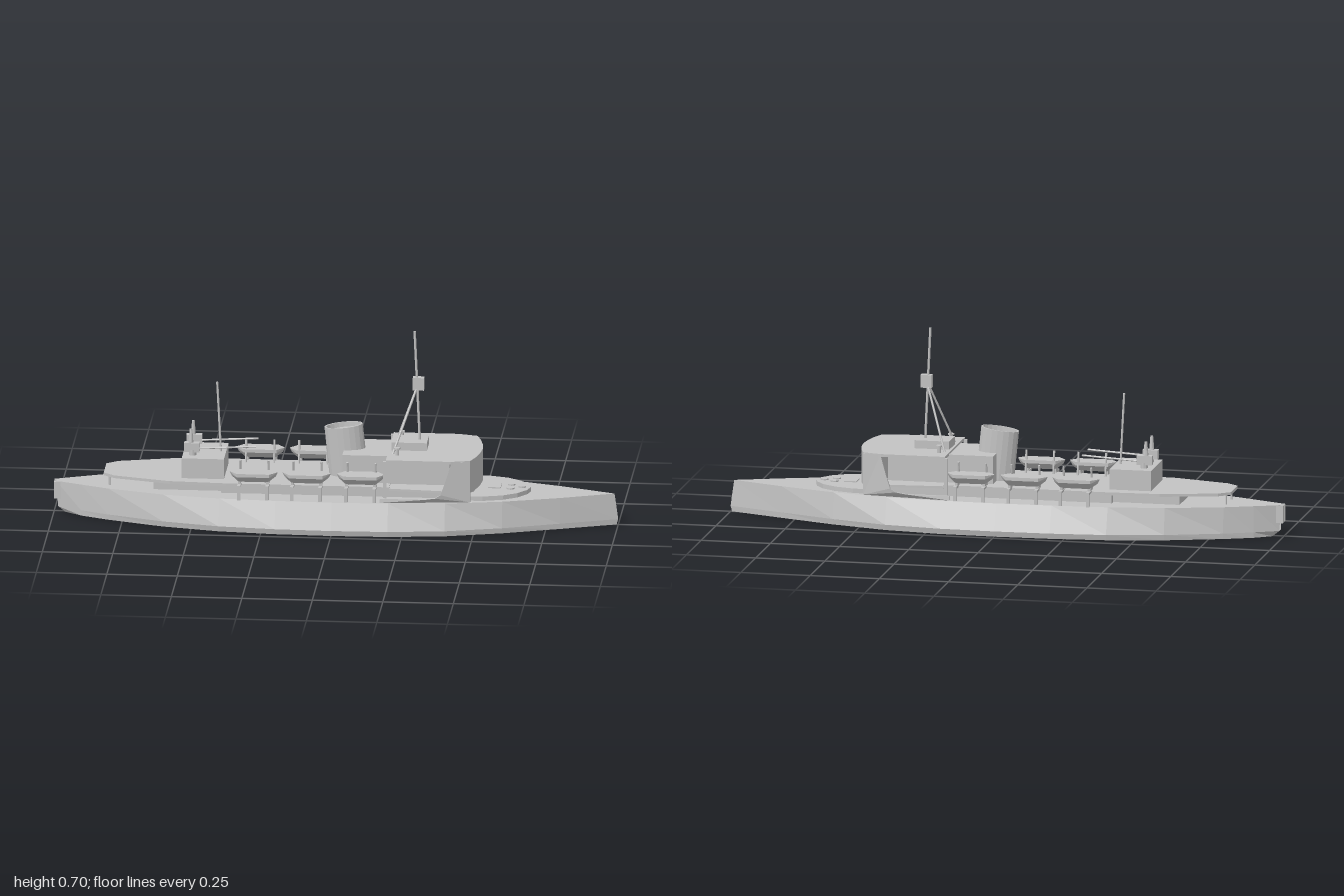
import * as THREE from 'three';
import { ConvexGeometry } from 'three/addons/geometries/ConvexGeometry.js';

const grey = new THREE.MeshStandardMaterial({ color: 0xc2c2c2, flatShading: true, side: THREE.DoubleSide });
grey.name = 'ship grey';

export function createModel() {
  const ship = new THREE.Group();
  ship.name = 'ship';

  const add = (name, geometry, x = 0, y = 0, z = 0) => {
    const mesh = new THREE.Mesh(geometry, grey);
    mesh.name = name;
    mesh.position.set(x, y, z);
    ship.add(mesh);
    return mesh;
  };
  // box given by its limits in x and y, its middle z and its width
  const box = (name, x0, x1, y0, y1, z, width) =>
    add(name, new THREE.BoxGeometry(x1 - x0, y1 - y0, width), (x0 + x1) / 2, (y0 + y1) / 2, z);
  const drum = (name, x, y0, y1, z, r, top = r) =>
    add(name, new THREE.CylinderGeometry(top, r, y1 - y0, 10), x, (y0 + y1) / 2, z);
  const rod = (name, a, b, r) => {
    const from = new THREE.Vector3(...a), to = new THREE.Vector3(...b);
    const dir = to.clone().sub(from);
    const mesh = add(name, new THREE.CylinderGeometry(r, r, dir.length(), 8));
    mesh.position.copy(from).add(to).multiplyScalar(0.5);
    mesh.quaternion.setFromUnitVectors(new THREE.Vector3(0, 1, 0), dir.normalize());
  };
  // closed outline from one half, listed as [x, half width]
  const mirrored = (half) => [
    ...half.map(([x, w]) => new THREE.Vector2(x, w)),
    ...half.slice().reverse().filter(([, w]) => w > 0).map(([x, w]) => new THREE.Vector2(x, -w)),
  ];
  const plate = (name, half, y0, y1) => {
    const geometry = new THREE.ExtrudeGeometry(new THREE.Shape(mirrored(half)), { depth: y1 - y0, bevelEnabled: false });
    return add(name, geometry.rotateX(-Math.PI / 2), 0, y0, 0);
  };
  // surface through rows of points
  const skin = (name, rows) => {
    const n = rows[0].length, index = [];
    for (let i = 0; i < rows.length - 1; i++) {
      for (let j = 0; j < n - 1; j++) {
        const a = i * n + j, b = a + n;
        index.push(a, b, a + 1, a + 1, b, b + 1);
      }
    }
    const geometry = new THREE.BufferGeometry();
    geometry.setAttribute('position', new THREE.Float32BufferAttribute(rows.flat(2), 3));
    geometry.setIndex(index);
    geometry.computeVertexNormals();
    return add(name, geometry);
  };
  const wall = (name, half, y0, y1) => {
    const ring = mirrored(half);
    ring.push(ring[0]);
    return skin(name, [y1, y0].map((y) => ring.map((p) => [p.x, y, -p.y])));
  };

  // Hull: open shell, [x at waterline, waterline width, deck width, x at deck]
  const stations = [
    [-0.985, 0.012, 0.014, -0.992], [-0.9, 0.055, 0.052], [-0.8, 0.098, 0.092], [-0.6, 0.165, 0.148],
    [-0.4, 0.207, 0.178], [-0.2, 0.225, 0.19], [0, 0.23, 0.195], [0.2, 0.225, 0.19],
    [0.4, 0.2, 0.172], [0.6, 0.145, 0.132], [0.8, 0.073, 0.07], [1, 0, 0, 0.987],
  ];
  const deckY = 0.114;
  for (const s of [1, -1]) {
    skin('hullSide', stations.map(([x, w, d, top = x]) => {
      const low = x < -0.95 ? x + 0.025 : Math.min(x, 0.994);
      const side = [[low, 0, w * 0.975], [x, 0.02, w], [top, deckY, d]].map(([px, y, z]) => [px, y, z * s]);
      return s > 0 ? side : side.reverse();
    }));
    box('sternFluke', -1, -0.975, 0.05, 0.112, 0.014 * s, 0.014);
  }

  // Main deck, open below the deckhouse
  const house = [[-0.64, 0.085], [-0.4, 0.085], [-0.4, 0.108], [0.46, 0.108], [0.495, 0.07]];
  const deck = new THREE.Shape(mirrored(stations.map(([x, , d, top = x]) => [top, d])));
  deck.holes.push(new THREE.Path(mirrored(house)));
  add('mainDeck', new THREE.ShapeGeometry(deck).rotateX(-Math.PI / 2), 0, deckY, 0);
  wall('deckhouse', house, deckY, 0.155);
  plate('boatDeck', [[-0.82, 0.055], [-0.78, 0.088], [-0.58, 0.14], [-0.38, 0.15], [0.2, 0.15]], 0.152, 0.162);
  for (const s of [1, -1]) rod('deckPost', [-0.8, deckY, 0.045 * s], [-0.8, 0.155, 0.045 * s], 0.003);

  // Bridge with rounded front, open wings and sloping side plates
  const front = [[0.42, 0.17], [0.488, 0.152], [0.503, 0.11], [0.515, 0.055], [0.52, 0]];
  wall('bridgeFront', front, 0.15, 0.268);
  plate('bridgeFloor', [[0.2, 0.152], ...front], 0.15, 0.158);
  plate('bridgeRoof', [[0.19, 0.17], ...front], 0.258, 0.268);
  box('upperHouse', 0.03, 0.41, 0.16, 0.262, 0, 0.2);
  const sidePlate = new THREE.Shape([
    [0.17, 0.115], [0.488, 0.115], [0.488, 0.265], [0.423, 0.265], [0.4, 0.19], [0.385, 0.148], [0.365, 0.135],
    [0.33, 0.13], [0.17, 0.13],
  ].map(([x, y]) => new THREE.Vector2(x, y)));
  for (const s of [1, -1]) {
    const g = new THREE.ExtrudeGeometry(sidePlate, { depth: 0.008, bevelEnabled: false });
    const p = g.attributes.position;
    for (let i = 0; i < p.count; i++) {
      const lean = (0.265 - p.getY(i)) * 0.12;
      p.setZ(i, p.getZ(i) - 0.004 + s * (p.getX(i) > 0.45 ? 0.15 : 0.165 + lean));
    }
    g.computeVertexNormals();
    add('bridgeSide', g);
    box('wingPillar', 0.18, 0.192, 0.115, 0.262, 0.165 * s, 0.012);
    drum('roofSpool', 0.225, 0.265, 0.295, 0.103 * s, 0.007);
    drum('spoolCap', 0.225, 0.29, 0.295, 0.103 * s, 0.011);
  }
  box('mastHouse', 0.2, 0.325, 0.268, 0.297, 0, 0.095);

  // Forward platform and its fittings
  plate('forePlatform', [[0.43, 0.13], [0.53, 0.128], [0.6, 0.108], [0.65, 0.075], [0.68, 0.035], [0.69, 0]], 0.114, 0.13);
  box('foreHatch', 0.54, 0.585, 0.13, 0.134, 0, 0.05);
  for (const s of [1, -1]) drum('bollard', 0.62, 0.13, 0.135, 0.024 * s, 0.014);
  drum('capstan', 0.66, 0.13, 0.135, 0, 0.014);

  // Funnel: raked oval with a sloping rim and a recessed top
  const oval = (cx, y, k, tilt) => Array.from({ length: 21 }, (_, i) => {
    const a = (i / 20) * Math.PI * 2, c = Math.cos(a);
    return [cx + c * 0.068 * k, y + c * tilt, -Math.sin(a) * 0.042 * k];
  });
  skin('funnel', [
    oval(0.026, 0.325, 0, 0), oval(0.026, 0.325, 0.88, 0.008), oval(0.026, 0.343, 0.9, 0.008),
    oval(0.026, 0.343, 1, 0.008), oval(0.045, 0.16, 1.02, 0),
  ]);

  // Masts
  rod('foreMast', [0.298, 0.26, 0], [0.278, 0.695, 0], 0.0045);
  box('lookoutBox', 0.272, 0.312, 0.48, 0.526, 0, 0.024);
  for (const s of [1, -1]) rod('mastStrut', [0.285, 0.485, 0.008 * s], [0.208, 0.266, 0.087 * s], 0.004);
  rod('aftMast', [-0.405, 0.16, 0], [-0.422, 0.49, 0], 0.004);

  // Gun house and the pair of guns on it
  box('gunHouse', -0.54, -0.39, 0.16, 0.235, 0, 0.2);
  for (const s of [1, -1]) {
    const z = 0.05 * s;
    drum('gunPedestal', -0.505, 0.235, 0.255, z, 0.014);
    box('gunBody', -0.535, -0.48, 0.247, 0.28, z, 0.024);
    rod('gunBarrel', [-0.49, 0.258, z], [-0.28, 0.27, z], 0.0035);
    drum('gunSight', -0.511, 0.28, 0.33, z, 0.009, 0.005);
  }

  // Lifeboats on davits, three to a side
  const boatPoints = [];
  for (const sx of [1, -1]) {
    boatPoints.push([0.086 * sx, 0.208, 0], [0.078 * sx, 0.192, 0]);
    for (const sz of [1, -1]) {
      boatPoints.push([0.058 * sx, 0.208, 0.034 * sz], [0.058 * sx, 0.196, 0.034 * sz], [0.052 * sx, 0.174, 0.014 * sz]);
    }
  }
  const boat = new ConvexGeometry(boatPoints.map((p) => new THREE.Vector3(...p)));
  for (const s of [1, -1]) {
    for (const x of [-0.28, -0.092, 0.1]) {
      add('lifeboat', boat, x, 0, 0.15 * s);
      for (const dx of [-0.05, 0.05]) {
        box('davitBeam', x + dx - 0.006, x + dx + 0.006, 0.158, 0.166, 0.165 * s, 0.05);
        box('davitLeg', x + dx - 0.006, x + dx + 0.006, 0.112, 0.16, 0.183 * s, 0.01);
        box('boatCradle', x + dx - 0.005, x + dx + 0.005, 0.166, 0.18, 0.15 * s, 0.03);
        rod('davitArm', [x + dx, 0.16, 0.112 * s], [x + dx, 0.243, 0.128 * s], 0.004);
      }
    }
  }
  return ship;
}
